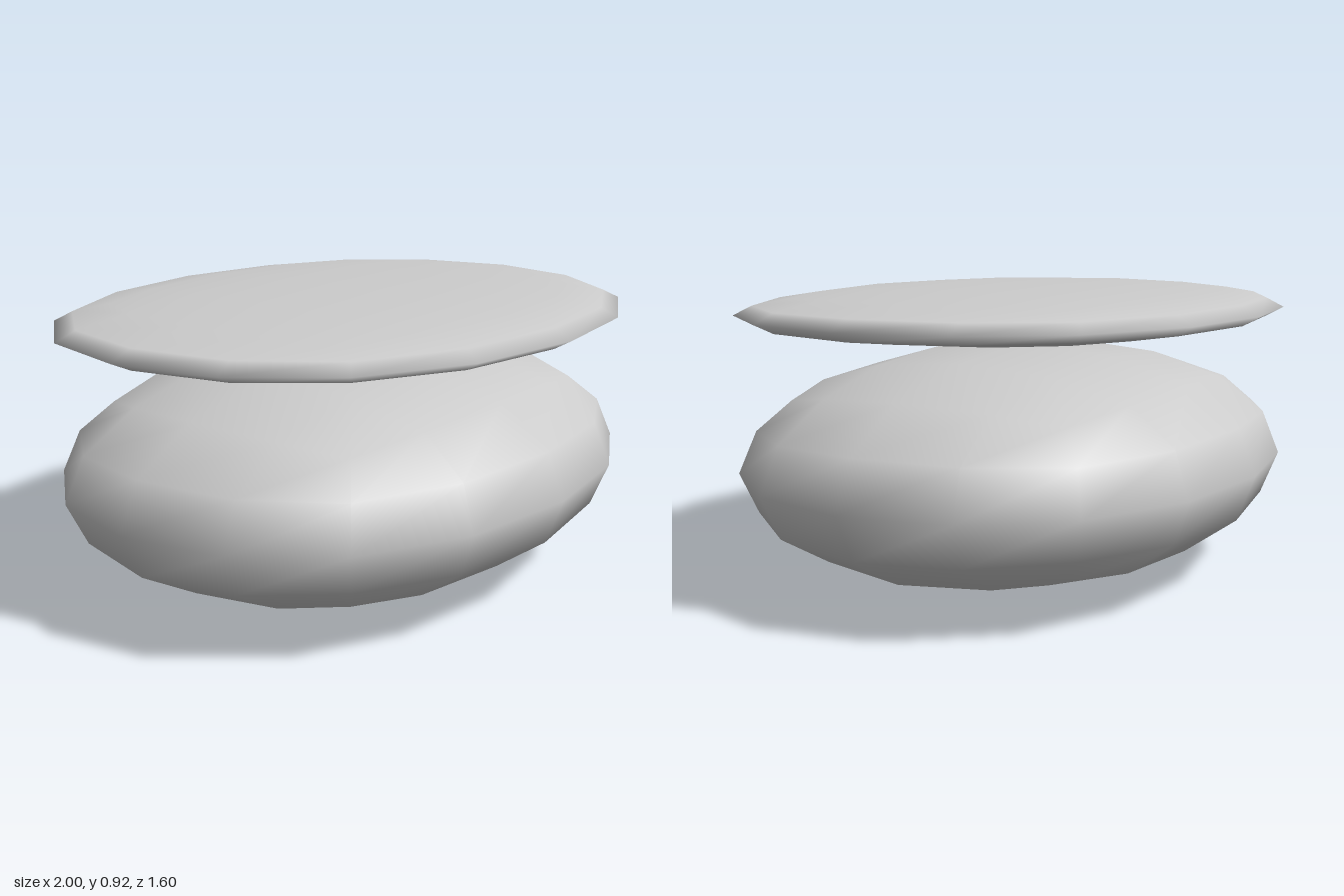
import * as THREE from 'three';
import { mergeVertices } from 'three/addons/utils/BufferGeometryUtils.js';

// Rounded-cube rule: a coordinate of size 1 or 2 (in grid steps) moves to a
// value chosen by the sum of squares of the other two coordinates.
const OUTER = { 0: 1, 1: 0.931, 2: 0.868, 4: 0.726, 5: 0.682, 8: 0.596 };
const INNER = { 4: 0.397, 5: 0.377, 8: 0.353 };

function roundCoord(own, a, b) {
  const size = Math.abs(Math.round(own));
  if (size === 0) return 0;
  const rest = Math.round(a) ** 2 + Math.round(b) ** 2;
  return Math.sign(own) * (size === 2 ? OUTER : INNER)[rest];
}

// A 4 x 4 x 4 cube softened into a ball, then squashed to the given radii
function pebble(name, rx, ry, rz, y) {
  const box = new THREE.BoxGeometry(4, 4, 4, 4, 4, 4);
  box.deleteAttribute('normal');
  box.deleteAttribute('uv');
  const geometry = mergeVertices(box);
  geometry.clearGroups();
  const p = geometry.attributes.position;
  for (let i = 0; i < p.count; i++) {
    const [x, yy, z] = [p.getX(i), p.getY(i), p.getZ(i)];
    p.setXYZ(i,
      rx * roundCoord(x, yy, z),
      ry * roundCoord(yy, x, z),
      rz * roundCoord(z, x, yy));
  }
  geometry.computeVertexNormals();
  const mesh = new THREE.Mesh(geometry, new THREE.MeshStandardMaterial({ color: 0xcccccc }));
  mesh.name = name;
  mesh.position.y = y;
  return mesh;
}

export function createModel() {
  const group = new THREE.Group();
  group.name = 'stackedPebbles';
  group.add(pebble('body', 1, 0.36, 0.8, 0.36));       // thick lower pebble
  group.add(pebble('lid', 1, 0.077, 0.8, 0.84));       // thin disc floating above
  return group;
}
